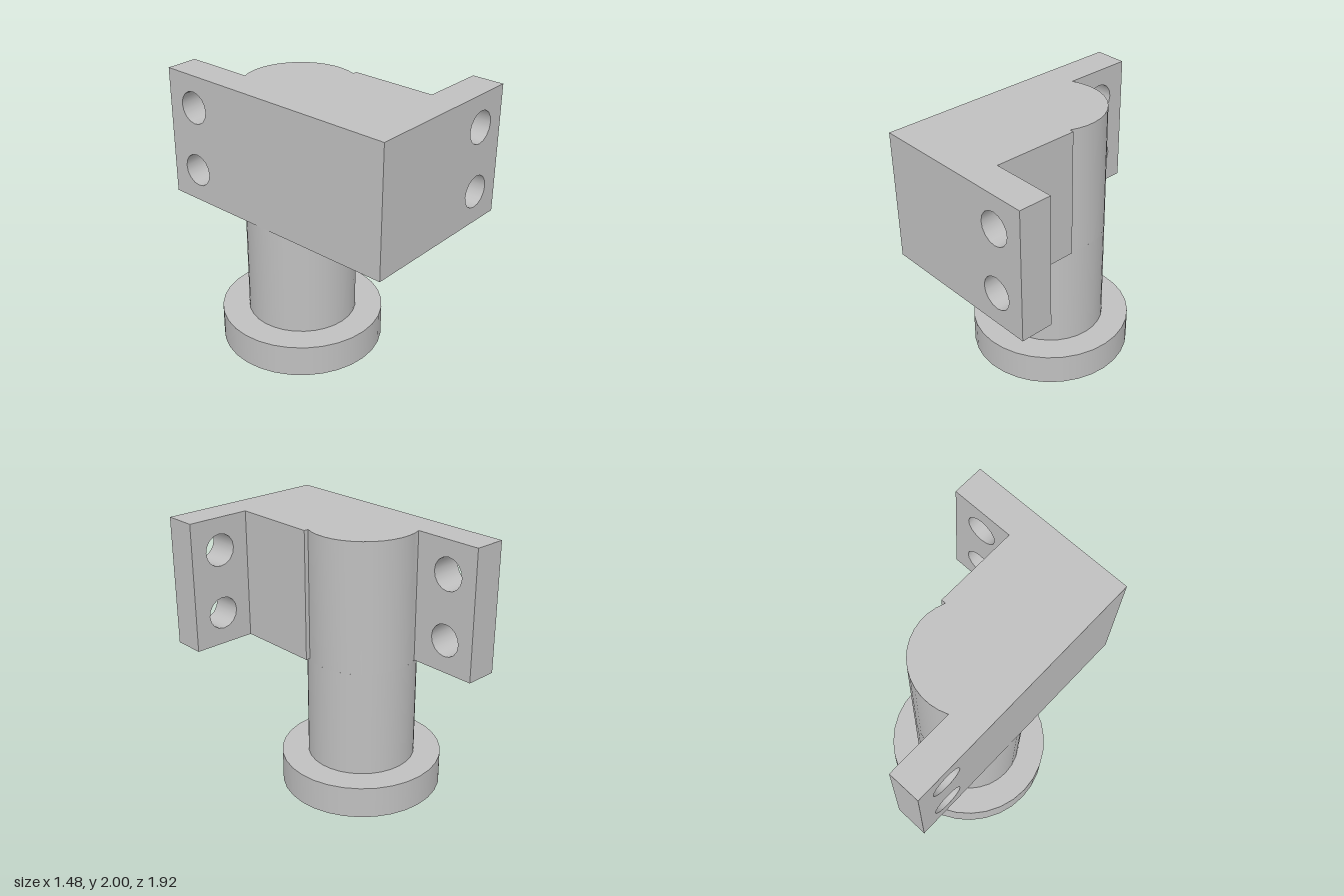
import * as THREE from 'three';
import { toCreasedNormals } from 'three/addons/utils/BufferGeometryUtils.js';

const CX = -0.14, CZ = -0.08, R = 0.4;   // column axis and radius
const Y0 = 1.04, H = 0.96, T = 0.24;     // bracket bottom, height and plate thickness

export function createModel() {
  const group = new THREE.Group();
  const grey = new THREE.MeshStandardMaterial({ color: 0xbfbfbf });
  grey.name = 'grey';

  const add = (name, geometry) => {
    const mesh = new THREE.Mesh(geometry, grey);
    mesh.name = name;
    group.add(mesh);
    return mesh;
  };
  const extrude = (shape, depth, curveSegments) => toCreasedNormals(
    new THREE.ExtrudeGeometry(shape, { depth, curveSegments, bevelEnabled: false }), 0.5);

  // Round foot and column
  add('baseFlange', new THREE.CylinderGeometry(0.6, 0.6, 0.24, 32)).position.set(CX, 0.12, CZ);
  add('column', new THREE.CylinderGeometry(R, R, 0.8, 32)).position.set(CX, 0.64, CZ);

  // Bracket block merged with the upper column, drawn in plan (shape y = -z)
  const a = Math.asin(0.16 / R);          // where the block and back plate meet the column
  const zBack = CZ - R * Math.cos(a);
  const plan = new THREE.Shape();
  plan.moveTo(-0.54, -0.96);
  plan.lineTo(0.26, -0.96);
  plan.lineTo(0.26, -0.08);
  plan.lineTo(CX + R * Math.cos(a), -0.08);
  plan.absarc(CX, -CZ, R, -a, Math.PI / 2 + a, false);
  plan.lineTo(-0.54, -zBack);
  plan.closePath();
  add('bracketBlock', extrude(plan, H, 7).rotateX(-Math.PI / 2).translate(0, Y0, 0));

  // Mounting plates with two bolt holes each, running along +x from the root
  const plate = (length) => {
    const s = new THREE.Shape();
    s.moveTo(0, 0);
    s.lineTo(length, 0);
    s.lineTo(length, H);
    s.lineTo(0, H);
    s.closePath();
    for (const y of [0.24, 0.72]) {
      s.holes.push(new THREE.Path().absarc(length - 0.24, y, 0.12, 0, Math.PI * 2, true));
    }
    return extrude(s, T, 8);
  };
  add('frontPlate', plate(0.48).translate(0.26, Y0, 0.72));
  add('backPlate', plate(0.96 + zBack).rotateY(Math.PI / 2).translate(-0.54, Y0, zBack));

  return group;
}
